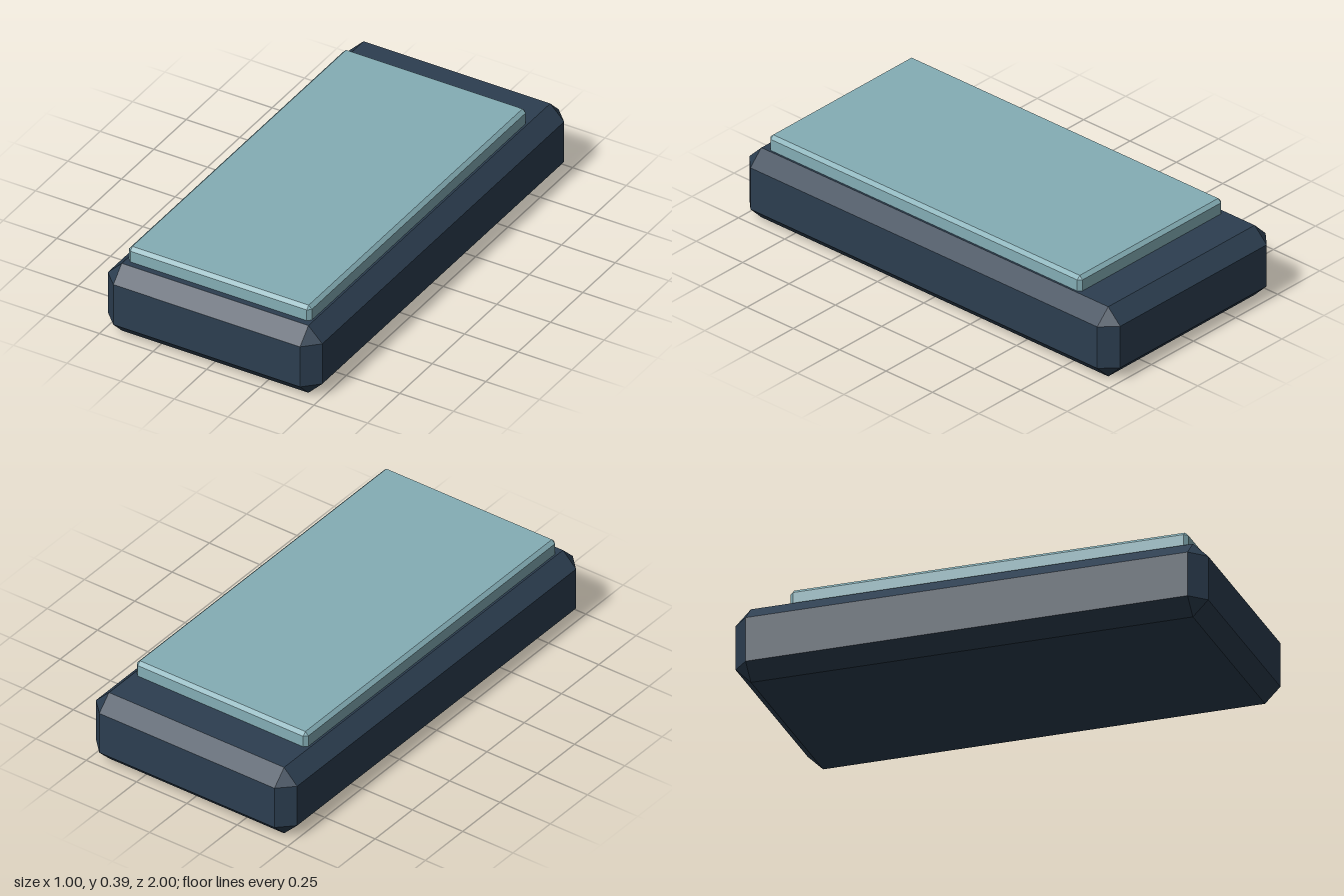
import * as THREE from 'three';
import { ConvexGeometry } from 'three/addons/geometries/ConvexGeometry.js';

// Box with every edge cut at 45 degrees, given by its min and max corners
function chamferedBox(min, max, cut) {
  const points = [];
  for (let corner = 0; corner < 8; corner++) {
    const upper = [0, 1, 2].map((i) => (corner >> i) & 1);
    // Each corner becomes a small triangle: one point on each adjoining face
    for (let face = 0; face < 3; face++) {
      points.push(new THREE.Vector3(...upper.map((up, i) => {
        const inset = i === face ? 0 : cut;
        return up ? max[i] - inset : min[i] + inset;
      })));
    }
  }
  return new ConvexGeometry(points);
}

export function createModel() {
  const group = new THREE.Group();
  group.name = 'chamferedSlab';

  const navy = new THREE.MeshStandardMaterial({ color: 0x2c3e50 });
  navy.name = 'navy';
  const paleTeal = new THREE.MeshStandardMaterial({ color: 0x84adb5 });
  paleTeal.name = 'paleTeal';

  function add(name, geometry, material) {
    const mesh = new THREE.Mesh(geometry, material);
    mesh.name = name;
    group.add(mesh);
  }

  // Heavy base with wide chamfers
  add('base', chamferedBox([-0.5, 0, -1], [0.5, 0.322, 1], 0.065), navy);

  // Raised panel, sunk into the base and set towards the front
  add('topPanel', chamferedBox([-0.426, 0.26, -0.775], [0.426, 0.388, 0.908], 0.015), paleTeal);

  return group;
}
